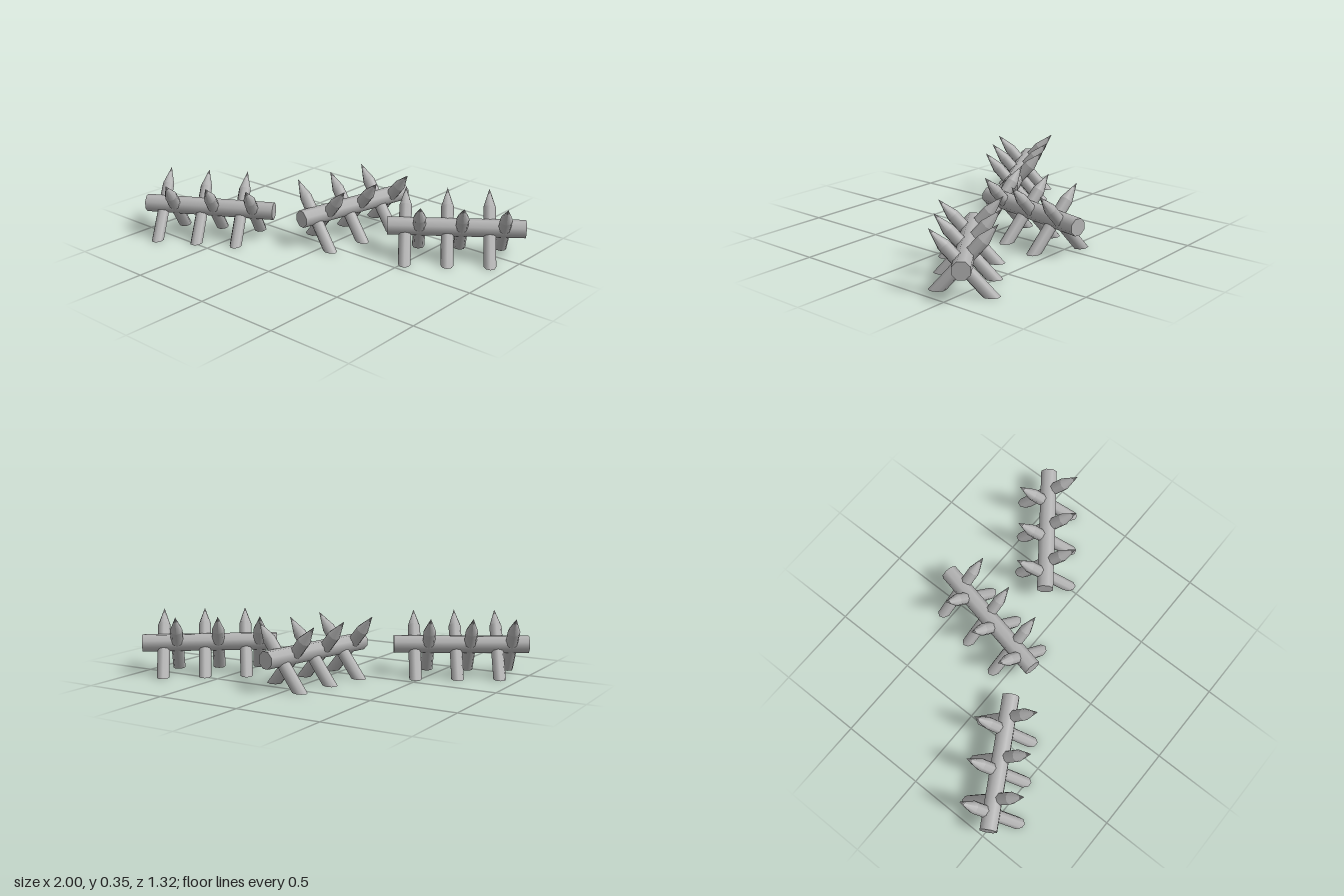
import * as THREE from 'three';

const LOG_R = 0.052, LOG_LEN = 0.784, LOG_Y = 0.178;
const STAKE_R = 0.036, TIP_LEN = 0.115;
const FOOT_Z = -0.14, TIP_Z = 0.172, TIP_Y = 0.354;
const TILT = Math.atan2(TIP_Z - FOOT_Z, TIP_Y);
const STAKE_LEN = Math.hypot(TIP_Z - FOOT_Z, TIP_Y);

// Stake shaft whose lower end is cut level with the ground once tilted
function shaftGeometry() {
  const h = STAKE_LEN - TIP_LEN;
  const geo = new THREE.CylinderGeometry(STAKE_R, STAKE_R, h, 8);
  geo.translate(0, h / 2, 0);
  const p = geo.attributes.position, n = geo.attributes.normal;
  for (let i = 0; i < p.count; i++) {
    if (p.getY(i) < h / 2) p.setY(i, p.getZ(i) * Math.tan(TILT));
    if (n.getY(i) < -0.5) n.setXYZ(i, 0, -Math.cos(TILT), Math.sin(TILT));
  }
  return geo;
}

export function createModel() {
  const model = new THREE.Group();
  model.name = 'barricades';
  const wood = new THREE.MeshStandardMaterial({ color: 0xb3b3b3 });
  wood.name = 'plain grey';

  const logGeo = new THREE.CylinderGeometry(LOG_R, LOG_R, LOG_LEN, 8);
  logGeo.rotateY(Math.PI / 8).rotateZ(Math.PI / 2);
  const shaftGeo = shaftGeometry();
  const tipGeo = new THREE.ConeGeometry(STAKE_R, TIP_LEN, 8, 1, true);
  tipGeo.translate(0, STAKE_LEN - TIP_LEN / 2, 0);

  const addMesh = (parent, geo, name) => {
    const mesh = new THREE.Mesh(geo, wood);
    mesh.name = name;
    parent.add(mesh);
    return mesh;
  };

  // One leaning stake; side +1 points to local +z, -1 to local -z
  function addStake(parent, x, side) {
    const stake = new THREE.Group();
    stake.name = side > 0 ? 'frontStake' : 'backStake';
    stake.position.set(x, 0, FOOT_Z * side);
    stake.rotation.order = 'YXZ';
    stake.rotation.set(TILT, side > 0 ? 0 : Math.PI, 0);
    addMesh(stake, shaftGeo, 'stakeShaft');
    addMesh(stake, tipGeo, 'stakeTip');
    parent.add(stake);
  }

  // Log carried by three crossed pairs of stakes
  function addBarricade(name, x, z, angle) {
    const barricade = new THREE.Group();
    barricade.name = name;
    barricade.position.set(x, 0, z);
    barricade.rotation.y = THREE.MathUtils.degToRad(angle);
    addMesh(barricade, logGeo, 'log').position.y = LOG_Y;
    for (let i = -1; i <= 1; i++) {
      addStake(barricade, i * 0.24 + 0.03, 1);
      addStake(barricade, i * 0.24 - 0.05, -1);
    }
    model.add(barricade);
  }

  addBarricade('rightBarricade', -0.639, 0.335, 30);
  addBarricade('middleBarricade', -0.01, -0.255, 78.3);
  addBarricade('leftBarricade', 0.659, -0.358, 36.7);
  return model;
}
